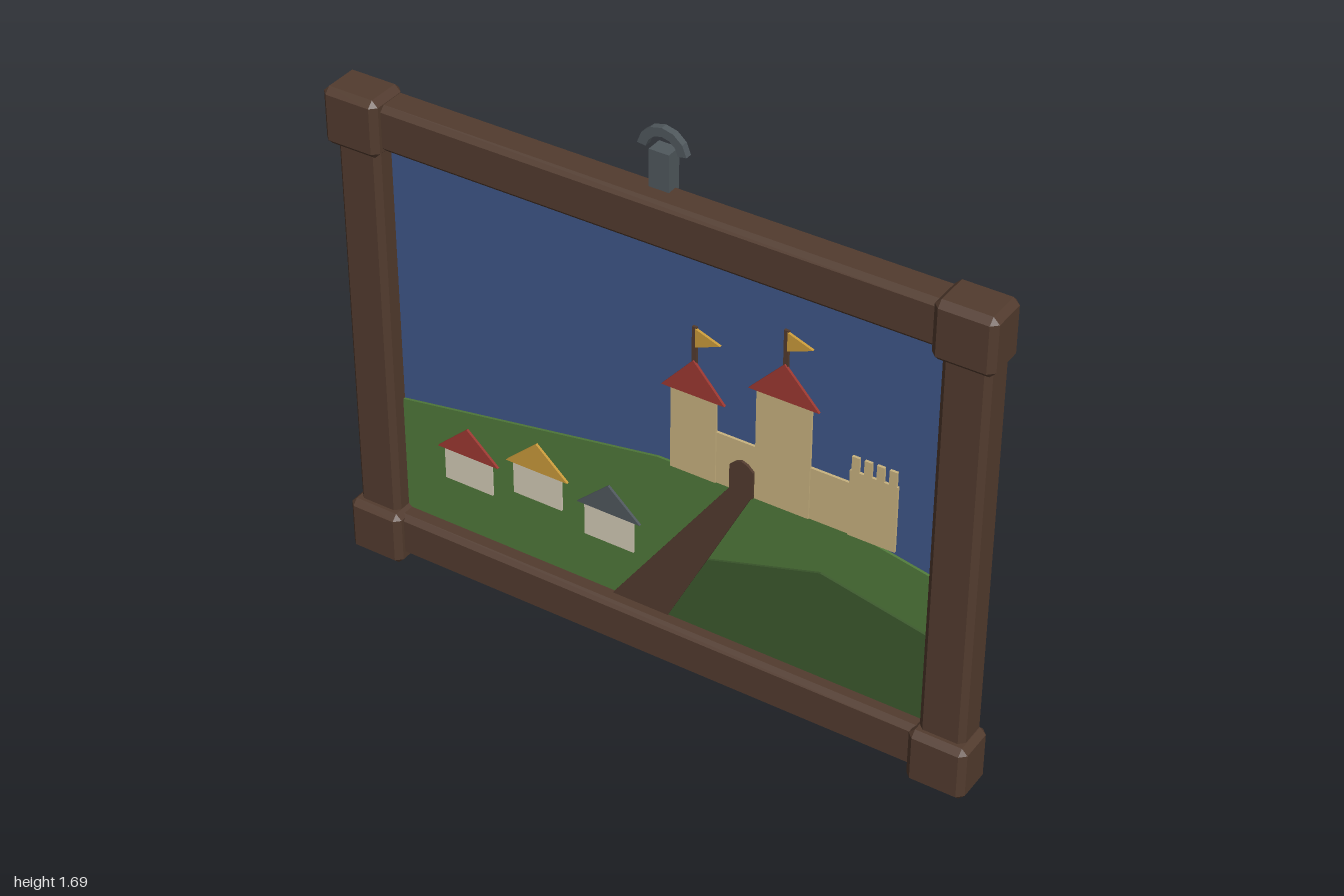
import * as THREE from 'three';
import { ConvexGeometry } from 'three/addons/geometries/ConvexGeometry.js';

const paint = (name, color) => {
  const m = new THREE.MeshStandardMaterial({ color });
  m.name = name;
  return m;
};

export function createModel() {
  const wood = paint('dark wood', 0x523b2e);
  const blue = paint('sky blue', 0x3e5688);
  const green = paint('meadow green', 0x50793a);
  const darkGreen = paint('dark green', 0x3c592d);
  const stone = paint('sandstone', 0xc8b27f);
  const cream = paint('cream plaster', 0xd3cab6);
  const red = paint('roof red', 0x9c3831);
  const gold = paint('gold', 0xc99a3a);
  const steel = paint('steel grey', 0x50585d);

  const model = new THREE.Group();
  model.name = 'framedPicture';

  const add = (name, geometry, material, parent = model) => {
    const mesh = new THREE.Mesh(geometry, material);
    mesh.name = name;
    parent.add(mesh);
    return mesh;
  };

  // Box with every edge chamfered, given by its limits
  const chamferBox = (x0, x1, y0, y1, z0, z1, b) => {
    const points = [];
    for (const [x, sx] of [[x0, 1], [x1, -1]])
      for (const [y, sy] of [[y0, 1], [y1, -1]])
        for (const [z, sz] of [[z0, 1], [z1, -1]]) {
          points.push(new THREE.Vector3(x, y + sy * b, z + sz * b));
          points.push(new THREE.Vector3(x + sx * b, y, z + sz * b));
          points.push(new THREE.Vector3(x + sx * b, y + sy * b, z));
        }
    return new ConvexGeometry(points);
  };

  // Flat cut-out whose front lies at z
  const plate = (name, points, z, material, parent, depth = 0.008) => {
    const shape = new THREE.Shape(points.map(([x, y]) => new THREE.Vector2(x, y)));
    const geometry = new THREE.ExtrudeGeometry(shape, { depth, bevelEnabled: false });
    geometry.translate(0, 0, z - depth);
    return add(name, geometry, material, parent);
  };
  const rect = (x0, x1, y0, y1) => [[x0, y0], [x1, y0], [x1, y1], [x0, y1]];
  const gable = (x, half, y0, y1) => [[x - half, y0], [x + half, y0], [x, y1]];

  // Frame: rails, posts and corner blocks
  const frame = new THREE.Group();
  frame.name = 'frame';
  model.add(frame);
  add('bottomRail', chamferBox(-0.87, 0.87, 0.025, 0.165, -0.065, 0.04, 0.016), wood, frame);
  add('topRail', chamferBox(-0.87, 0.87, 1.375, 1.515, -0.065, 0.04, 0.016), wood, frame);
  for (const s of [-1, 1]) {
    const [x0, x1] = s < 0 ? [-0.98, -0.843] : [0.843, 0.98];
    add('sidePost', chamferBox(x0, x1, 0.14, 1.4, -0.065, 0.04, 0.016), wood, frame);
    const [c0, c1] = s < 0 ? [-1, -0.825] : [0.825, 1];
    for (const y of [0, 1.36])
      add('cornerBlock', chamferBox(c0, c1, y, y + 0.175, -0.068, 0.068, 0.018), wood, frame);
  }

  // Sky board and landscape layers
  const picture = new THREE.Group();
  picture.name = 'picture';
  model.add(picture);
  plate('skyBoard', rect(-0.86, 0.86, 0.14, 1.39), -0.02, blue, picture, 0.034);
  plate('meadow', [[-0.85, 0.15], [0.85, 0.15], [0.85, 0.633], [0.6, 0.683], [0, 0.683], [-0.85, 0.54]],
    -0.012, green, picture);
  plate('darkHill', [[0.03, 0.15], [0.85, 0.15], [0.85, 0.445], [0.51, 0.515], [0.165, 0.41]],
    -0.005, darkGreen, picture);
  plate('path', [[-0.15, 0.15], [0.033, 0.15], [0.305, 0.69], [0.235, 0.69]], -0.002, wood, picture);

  // Castle
  const castle = new THREE.Group();
  castle.name = 'castle';
  picture.add(castle);
  plate('castleWall', rect(0.17, 0.6, 0.677, 0.84), -0.009, stone, castle);
  plate('battlementTower', rect(0.585, 0.725, 0.677, 0.885), -0.005, stone, castle);
  for (let i = 0; i < 4; i++) {
    const x = 0.59 + i * 0.0363;
    plate('merlon', rect(x, x + 0.022, 0.88, 0.93), -0.005, stone, castle);
  }
  const towers = [
    { x: 0.115, half: 0.07, eave: 0.94, roof: 0.097, peak: 1.045, pole: 1.147 },
    { x: 0.387, half: 0.082, eave: 1.03, roof: 0.105, peak: 1.137, pole: 1.238 },
  ];
  for (const t of towers) {
    plate('tower', rect(t.x - t.half, t.x + t.half, 0.677, t.eave), -0.005, stone, castle);
    plate('flagPole', rect(t.x - 0.007, t.x + 0.007, t.peak - 0.02, t.pole), -0.007, wood, castle);
    plate('towerRoof', gable(t.x, t.roof, t.eave - 0.005, t.peak), -0.002, red, castle);
    plate('flag', [[t.x + 0.005, t.pole - 0.06], [t.x + 0.08, t.pole - 0.03], [t.x + 0.005, t.pole - 0.003]],
      -0.004, gold, castle);
  }
  plate('castleDoor', [[0.231, 0.675], [0.303, 0.675], [0.303, 0.76], [0.285, 0.777], [0.267, 0.784],
    [0.249, 0.777], [0.231, 0.76]], 0, wood, castle);

  // Village houses
  for (const [x, y, roof] of [[-0.621, 0.33, red], [-0.388, 0.375, gold], [-0.153, 0.33, steel]]) {
    const house = new THREE.Group();
    house.name = 'house';
    picture.add(house);
    plate('houseWall', rect(x - 0.08, x + 0.08, y, y + 0.11), -0.006, cream, house);
    plate('houseRoof', gable(x, 0.102, y + 0.104, y + 0.197), -0.003, roof, house);
  }

  // Hanger: block with a faceted open hook
  const hanger = new THREE.Group();
  hanger.name = 'hanger';
  model.add(hanger);
  const block = add('hangerBlock', new THREE.BoxGeometry(0.06, 0.12, 0.048), steel, hanger);
  block.position.set(0, 1.565, -0.042);
  const arc = [];
  const steps = 6, a0 = 0.14, a1 = Math.PI - 0.14;
  for (let i = 0; i <= steps; i++) {
    const a = a0 + (a1 - a0) * i / steps;
    arc.push([0.074 * Math.cos(a), 1.614 + 0.074 * Math.sin(a)]);
  }
  for (let i = steps; i >= 0; i--) {
    const a = a0 + (a1 - a0) * i / steps;
    arc.push([0.048 * Math.cos(a), 1.614 + 0.048 * Math.sin(a)]);
  }
  plate('hangerHook', arc, -0.031, steel, hanger, 0.021);

  return model;
}
